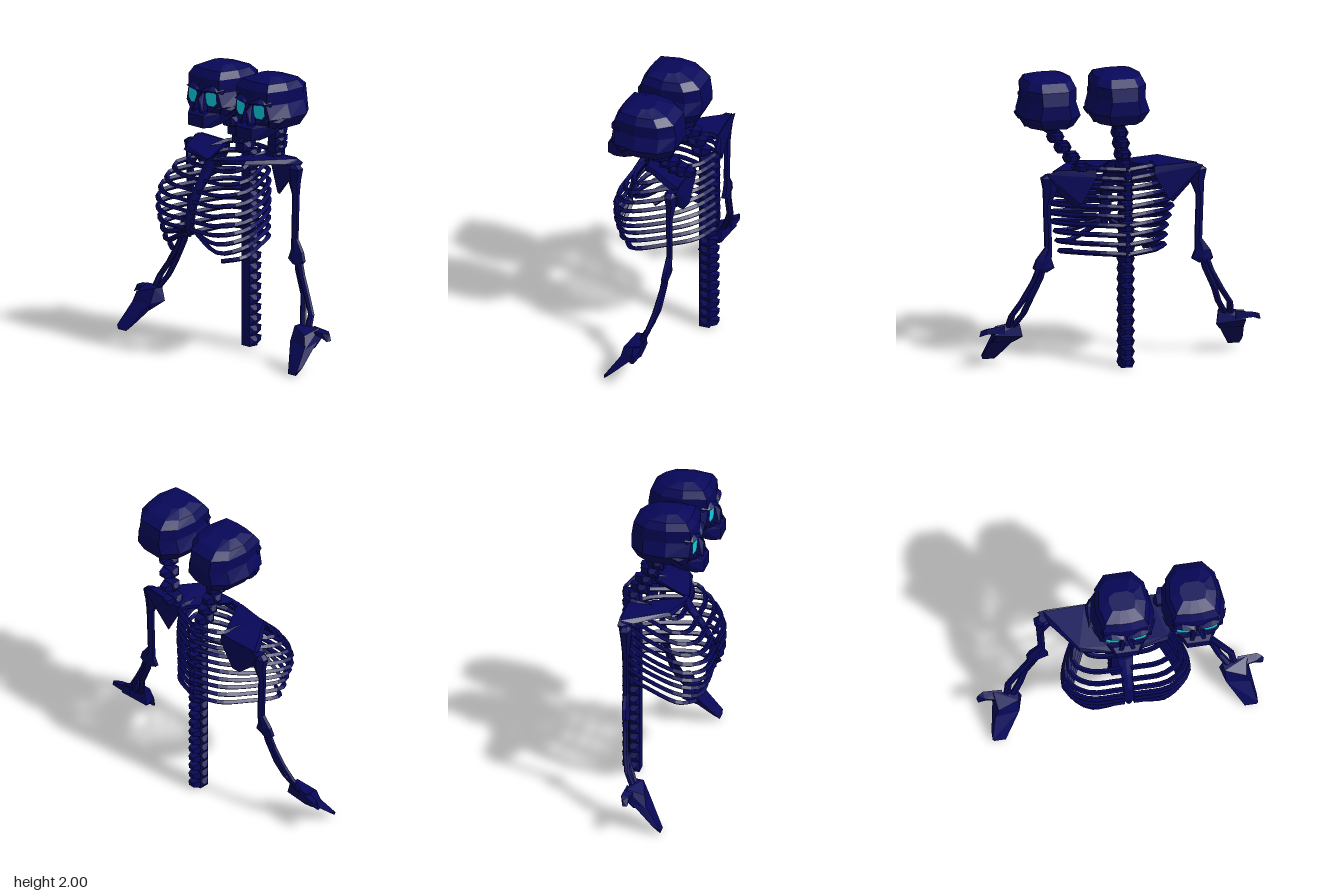
import * as THREE from 'three';
import { ConvexGeometry } from 'three/addons/geometries/ConvexGeometry.js';

const bone = new THREE.MeshStandardMaterial({ color: 0x07075a, flatShading: true });
const glow = new THREE.MeshStandardMaterial({ color: 0x10d4e8, flatShading: true });

function add(parent, name, geometry, material = bone) {
  const mesh = new THREE.Mesh(geometry, material);
  mesh.name = name;
  parent.add(mesh);
}

// Faceted solid around points; s = -1 mirrors it in x
const hull = (points, s = 1) =>
  new ConvexGeometry(points.map(([x, y, z]) => new THREE.Vector3(x * s, y, z)));

// Both halves of a symmetrical solid
const symHull = (points) => hull([...points, ...points.map(([x, y, z]) => [-x, y, z])]);

// Skin over horizontal rings, each an equal count of [x, y, z], with closed ends
function loft(rings) {
  if (rings[0][0][1] > rings[rings.length - 1][0][1]) rings = [...rings].reverse();
  const n = rings[0].length, index = [];
  for (let r = 0; r < rings.length - 1; r++) {
    for (let i = 0; i < n; i++) {
      const a = r * n + i, b = r * n + (i + 1) % n;
      index.push(a, a + n, b, b, a + n, b + n);
    }
  }
  const top = (rings.length - 1) * n;
  for (let i = 1; i < n - 1; i++) {
    index.push(0, i, i + 1, top, top + i + 1, top + i);
  }
  const g = new THREE.BufferGeometry();
  g.setAttribute('position', new THREE.Float32BufferAttribute(rings.flat(2), 3));
  g.setIndex(index);
  g.computeVertexNormals();
  return g;
}

// Bone shaft from stations [x, y, z, radiusX, radiusZ]
function shaft(stations, s = 1, sides = 6) {
  return loft(stations.map(([x, y, z, rx, rz]) =>
    Array.from({ length: sides }, (_, i) => {
      const a = ((i + 0.5) / sides) * Math.PI * 2;
      return [x * s + rx * Math.cos(a), y, z + rz * Math.sin(a)];
    })));
}

function makeSkull() {
  const skull = new THREE.Group();
  skull.name = 'skull';

  // Cranium: one outline scaled per level [y, halfWidth, front, back]
  const half = [[0.5, -1], [0.9, -0.6], [1, 0.1], [0.82, 0.92], [0.25, 1]];
  const outline = [...half, ...half.map(([x, z]) => [-x, z]).reverse()];
  const levels = [
    [1.66, 0.165, 0.17, 0.2], [1.735, 0.215, 0.19, 0.237], [1.83, 0.18, 0.2, 0.24],
    [1.92, 0.187, 0.193, 0.225], [1.97, 0.16, 0.16, 0.165], [2.0, 0.09, 0.075, 0.06],
  ];
  add(skull, 'cranium', loft(levels.map(([y, w, f, b]) =>
    outline.map(([x, z]) => [x * w, y, z * (z > 0 ? f : b)]))));

  add(skull, 'jaw', symHull([
    [0.1, 1.59, 0.2], [0.075, 1.59, 0.255], [0.075, 1.67, 0.255], [0.13, 1.615, 0.12],
    [0.15, 1.67, 0.02], [0.12, 1.64, 0.03], [0.16, 1.69, 0.14], [0.095, 1.7, 0.22],
  ]));

  for (const s of [1, -1]) {
    add(skull, 'browRidge', hull([
      [0.01, 1.845, 0.19], [0.17, 1.85, 0.14], [0.15, 1.84, 0.2], [0.02, 1.83, 0.225],
      [0.1, 1.885, 0.18], [0.1, 1.845, 0.22], [0.165, 1.82, 0.15],
    ], s));
    add(skull, 'cheekbone', hull([
      [0.05, 1.725, 0.19], [0.14, 1.732, 0.2], [0.218, 1.74, 0.06], [0.2, 1.71, 0.11],
      [0.17, 1.67, 0.12], [0.08, 1.68, 0.22], [0.12, 1.7, 0.12],
    ], s));
    add(skull, 'nasalBone', hull([
      [0.003, 1.835, 0.19], [0.028, 1.83, 0.2], [0.01, 1.78, 0.24], [0.028, 1.76, 0.235],
      [0.03, 1.69, 0.245], [0.055, 1.69, 0.24], [0.045, 1.7, 0.18],
    ], s));
    add(skull, 'eye', hull([
      [0.045, 1.755, 0.2], [0.06, 1.733, 0.198], [0.115, 1.733, 0.192], [0.14, 1.76, 0.19],
      [0.135, 1.825, 0.193], [0.11, 1.838, 0.199], [0.06, 1.835, 0.203], [0.043, 1.81, 0.203],
      [0.09, 1.785, 0.18],
    ], s), glow);
  }
  return skull;
}

// Vertebra with a waisted body and a spine pointing backwards
function makeVertebra(parent, x, y, z) {
  const h = 0.0715, v = new THREE.Group();
  v.name = 'vertebra';
  add(v, 'vertebraBody', symHull([
    [0.04, 0, 0.037], [0.04, h, 0.037], [0.06, h / 2, 0.01], [0.06, h / 2, -0.02],
    [0.038, 0, -0.035], [0.038, h, -0.035],
  ]));
  add(v, 'vertebraProcess', symHull([
    [0.045, h * 0.95, -0.02], [0.045, h * 0.1, -0.02], [0.022, h * 0.85, -0.087], [0.022, h * 0.35, -0.082],
  ]));
  v.position.set(x, y, z);
  parent.add(v);
}

function makeRibs(parent) {
  const width = [0.27, 0.35, 0.38, 0.41, 0.42, 0.42, 0.4, 0.38, 0.37, 0.36];
  const front = [0.12, 0.2, 0.26, 0.3, 0.32, 0.32, 0.32, 0.31, 0.29, 0.25];
  width.forEach((w, i) => {
    const y = 1.375 - i * 0.065, zf = front[i];
    // lower ribs sweep up to the end of the breastbone; the last one floats
    const yEnd = Math.max(y - 0.1, 0.87 + (9 - i) * 0.008);
    for (const s of [1, -1]) {
      const path = [
        [0.01, y, -0.3], [0.19, y + 0.005, -0.235], [w * 0.78, y - 0.02, -0.08],
        [w, y - 0.06, zf * 0.6], [w * 0.68, y - 0.09, zf * 0.96],
      ];
      if (i < 9) path.push([0.03, yEnd, zf]);
      const curve = new THREE.CatmullRomCurve3(path.map(([px, py, pz]) => new THREE.Vector3(px * s, py, pz)));
      add(parent, 'rib', new THREE.TubeGeometry(curve, 18, 0.018, 4, false), ribMaterial);
    }
  });
}
const ribMaterial = bone.clone();
ribMaterial.side = THREE.DoubleSide;

function makeShoulder(parent, s) {
  // broad, nearly level plate reaching from the shoulder to the breastbone
  add(parent, 'collarbone', hull([
    [0.5, 1.38, -0.22], [0.47, 1.35, -0.13], [0.3, 1.375, 0.07], [0.3, 1.35, 0.09], [0.22, 1.375, -0.23],
    [0.03, 1.34, 0.13], [0.03, 1.31, 0.13], [0.03, 1.345, 0.08], [0.5, 1.34, -0.2], [0.22, 1.345, -0.23],
  ], s));
  add(parent, 'shoulderBlade', hull([
    [0.54, 1.36, -0.23], [0.5, 1.33, -0.15], [0.47, 1.385, -0.23], [0.2, 1.375, -0.235],
    [0.2, 1.32, -0.24], [0.3, 1.14, -0.23], [0.34, 1.11, -0.2], [0.35, 1.13, -0.17], [0.46, 1.22, -0.17],
  ], s));
}

function makeArm(s) {
  const arm = new THREE.Group();
  arm.name = s > 0 ? 'leftArm' : 'rightArm';
  add(arm, 'upperArm', shaft([
    [0.51, 1.35, -0.18, 0.03, 0.03], [0.515, 1.325, -0.18, 0.065, 0.045], [0.51, 1.24, -0.18, 0.052, 0.035],
    [0.53, 1.14, -0.175, 0.028, 0.024], [0.52, 0.84, -0.175, 0.028, 0.022],
    [0.55, 0.76, -0.17, 0.06, 0.026], [0.55, 0.7, -0.165, 0.085, 0.026], [0.56, 0.67, -0.16, 0.04, 0.02],
  ], s));
  add(arm, 'outerForearmBone', shaft([
    [0.575, 0.7, -0.165, 0.028, 0.02], [0.61, 0.61, -0.155, 0.028, 0.02], [0.69, 0.47, -0.135, 0.025, 0.02],
    [0.755, 0.37, -0.11, 0.024, 0.02], [0.77, 0.28, -0.07, 0.026, 0.022],
  ], s));
  add(arm, 'innerForearmBone', shaft([
    [0.56, 0.7, -0.165, 0.028, 0.02], [0.575, 0.63, -0.16, 0.028, 0.02], [0.64, 0.48, -0.145, 0.024, 0.018],
    [0.675, 0.38, -0.11, 0.024, 0.018], [0.735, 0.28, -0.06, 0.026, 0.022],
  ], s));
  add(arm, 'palm', hull([
    [0.69, 0.3, -0.07], [0.67, 0.21, -0.075], [0.7, 0.3, -0.01], [0.86, 0.3, -0.09], [0.87, 0.235, -0.11],
    [0.7, 0.2, 0.03], [0.84, 0.26, 0.03], [0.72, 0.15, 0.02], [0.87, 0.17, -0.04], [0.87, 0.17, 0.05],
  ], s));
  add(arm, 'fingers', hull([
    [0.69, 0.21, -0.03], [0.7, 0.2, 0.03], [0.87, 0.21, -0.06], [0.86, 0.21, 0.03], [0.9, 0.06, 0.1],
    [0.9, 0.04, 0.15], [0.89, 0.012, 0.15], [0.81, 0.012, 0.15], [0.79, 0.045, 0.11], [0.74, 0.13, 0.03],
  ], s));
  add(arm, 'thumbBase', hull([
    [0.8, 0.3, -0.1], [0.8, 0.24, -0.1], [0.8, 0.28, -0.03], [0.93, 0.285, -0.11], [0.92, 0.25, -0.11],
    [0.92, 0.275, -0.06], [0.91, 0.245, -0.06],
  ], s));
  add(arm, 'thumbTip', hull([
    [0.93, 0.285, -0.11], [0.92, 0.25, -0.11], [0.92, 0.275, -0.06], [0.91, 0.245, -0.06],
    [0.965, 0.27, -0.09], [0.975, 0.23, -0.09], [0.965, 0.225, -0.06],
  ], s));
  return arm;
}

export function createModel() {
  const model = new THREE.Group();
  model.name = 'twoHeadedSkeleton';

  // Spine and the two necks
  const spine = new THREE.Group();
  spine.name = 'spine';
  for (let i = 0; i < 19; i++) makeVertebra(spine, 0, i * 0.0715, -0.235);
  const neckZ = [-0.18, -0.15, -0.108, -0.07, -0.037];
  const sideNeckX = [0.3, 0.355, 0.405, 0.445, 0.47];
  neckZ.forEach((z, i) => {
    makeVertebra(spine, 0, 1.35 + i * 0.065, z);
    makeVertebra(spine, sideNeckX[i], 1.35 + i * 0.065, z);
  });
  model.add(spine);

  // Heads
  for (const x of [0, 0.48]) {
    const skull = makeSkull();
    skull.position.x = x;
    model.add(skull);
  }

  // Rib cage
  const ribCage = new THREE.Group();
  ribCage.name = 'ribCage';
  makeRibs(ribCage);
  add(ribCage, 'breastbone', shaft([
    [0, 1.34, 0.11, 0.055, 0.02], [0, 1.27, 0.14, 0.06, 0.02], [0, 1.17, 0.215, 0.045, 0.02],
    [0, 1.06, 0.28, 0.045, 0.02], [0, 0.93, 0.31, 0.045, 0.018], [0, 0.84, 0.31, 0.015, 0.012],
  ]));
  model.add(ribCage);

  // Shoulders and arms
  for (const s of [1, -1]) {
    makeShoulder(model, s);
    model.add(makeArm(s));
  }
  return model;
}
